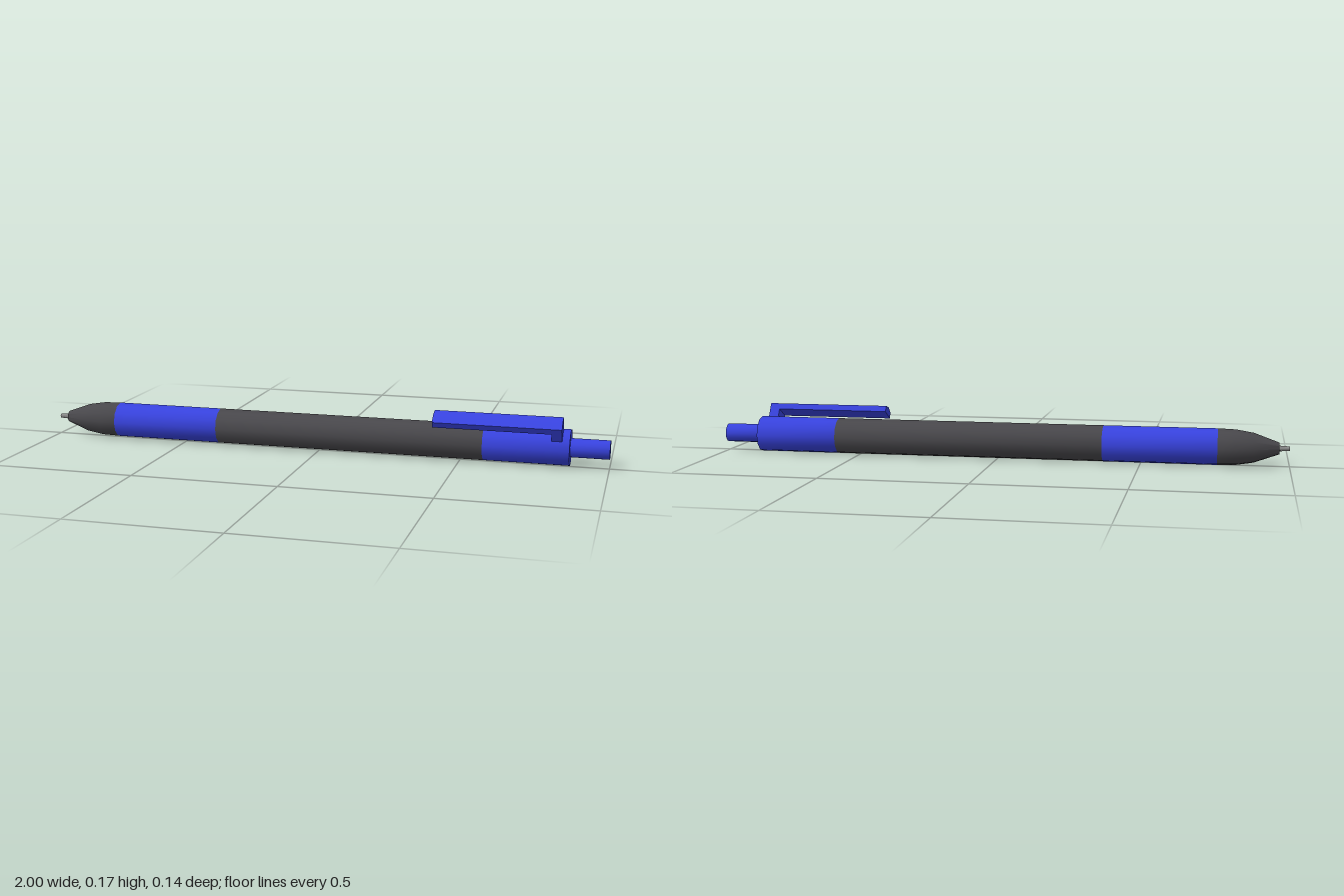
import * as THREE from 'three';
import { toCreasedNormals } from 'three/addons/utils/BufferGeometryUtils.js';

const material = (color) => new THREE.MeshStandardMaterial({ color });

export function createModel() {
  const pen = new THREE.Group();
  pen.name = 'pen';
  const blue = material(0x3843e0);
  const dark = material(0x49484c);
  const metal = material(0x8a8a8a);
  const R = 0.063;

  // Everything sits on the pen's long axis
  const axis = new THREE.Group();
  axis.name = 'penAxis';
  axis.position.set(0, R, -0.008);
  pen.add(axis);

  const add = (name, geometry, mat, parent = axis) => {
    const mesh = new THREE.Mesh(toCreasedNormals(geometry, 0.6), mat);
    mesh.name = name;
    parent.add(mesh);
  };

  // Twelve-sided turned part along x, from [x, radius] pairs
  const turned = (name, profile, mat) => {
    const points = profile.map(([x, r]) => new THREE.Vector2(r, x));
    add(name, new THREE.LatheGeometry(points, 12).rotateZ(-Math.PI / 2), mat);
  };

  // Writing end
  turned('writingTip', [[-1, 0], [-1, 0.008], [-0.975, 0.009], [-0.95, 0.012]], metal);
  turned('noseCone', [[-0.965, 0], [-0.965, 0.02], [-0.88, 0.051], [-0.82, 0.061], [-0.76, R]], dark);

  // Barrel
  turned('grip', [[-0.76, R], [-0.37, R]], blue);
  turned('barrel', [[-0.37, R], [0.58, R]], dark);
  turned('endCap', [[0.58, R], [0.87, R], [0.87, 0]], blue);
  turned('pushButton', [[0.86, 0.033], [1, 0.033], [1, 0]], blue);

  // Pocket clip, tilted toward the front
  const clip = new THREE.Group();
  clip.name = 'clip';
  clip.rotation.x = Math.PI / 6;
  axis.add(clip);

  // Cross-section with a low crown, extruded along x
  const clipPart = (name, bottom, x0, x1) => {
    const w = 0.032;
    const section = new THREE.Shape([
      new THREE.Vector2(-w, bottom), new THREE.Vector2(w, bottom),
      new THREE.Vector2(w, 0.106), new THREE.Vector2(0, 0.114), new THREE.Vector2(-w, 0.106),
    ]);
    const geometry = new THREE.ExtrudeGeometry(section, { depth: x1 - x0, bevelEnabled: false });
    add(name, geometry.rotateY(Math.PI / 2).translate(x0, 0, 0), blue, clip);
  };
  clipPart('clipBar', 0.084, 0.412, 0.81);
  clipPart('clipPost', 0.045, 0.81, 0.845);

  return pen;
}
